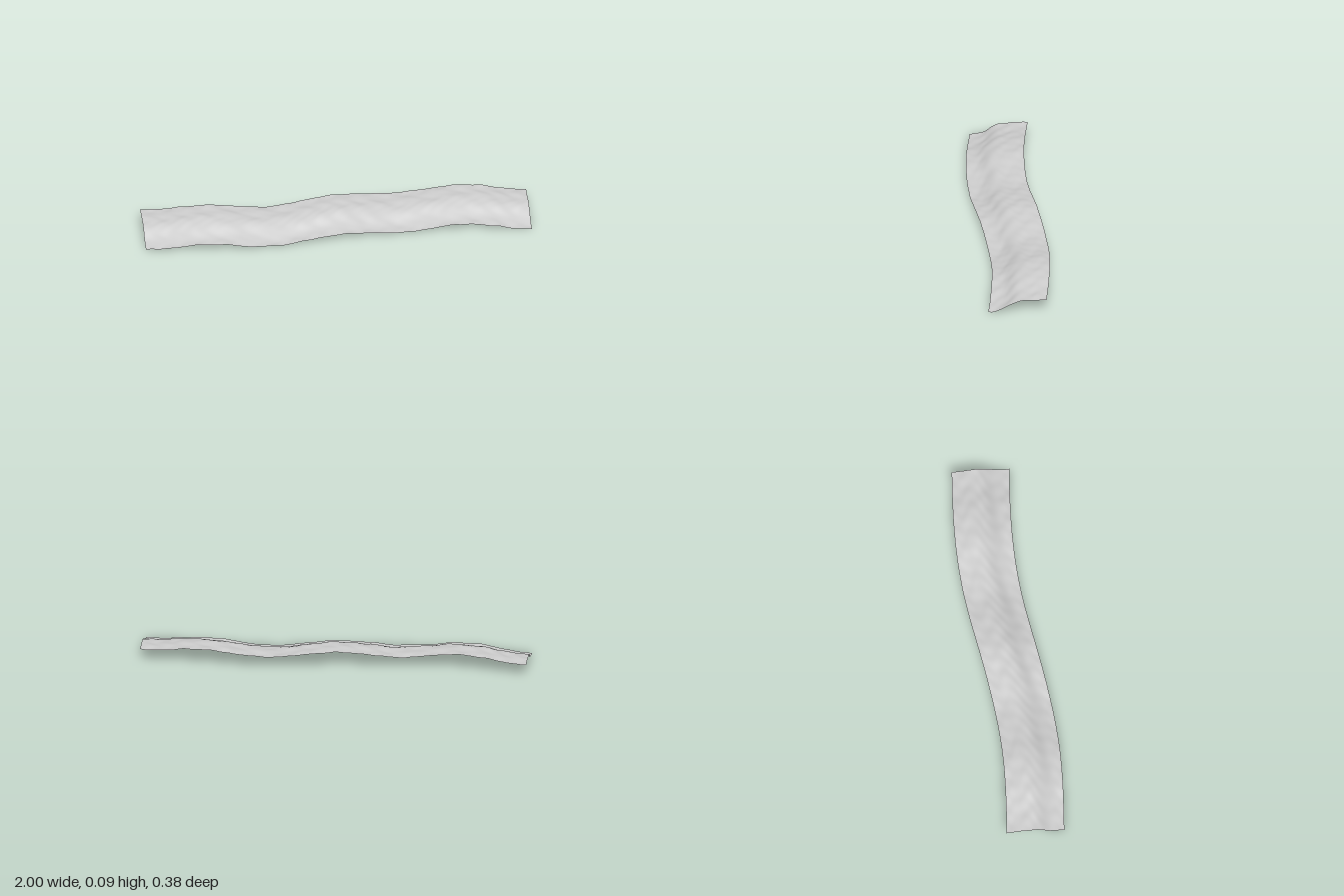
import * as THREE from 'three';

const LENGTH = 2, WIDTH = 0.3;

// Small uneven bumps layered over the main shape
function bumps(x, v) {
  return 0.0022 * Math.sin(23 * x + 31 * v + 1.3) * Math.cos(37 * v - 9 * x)
    + 0.0016 * Math.sin(41 * x - 52 * v + 0.6 + 2 * Math.sin(7 * x))
    + 0.0012 * Math.sin(67 * x + 2 * Math.sin(40 * v)) * Math.cos(71 * v + 13 * x);
}

// Low front edge, steep bank, flatter back, rolling along the length
function heightAt(x, v) {
  const bank = 0.047 - 0.032 * Math.tanh((v - 0.05) / 0.05);
  return bank + 0.0135 * Math.cos(3 * Math.PI * x) + bumps(x, v);
}

export function createModel() {
  const group = new THREE.Group();
  group.name = 'terrainStrip';
  const stone = new THREE.MeshStandardMaterial({ color: 0xcccccc, side: THREE.DoubleSide });
  stone.name = 'light grey';

  // Winding sheet displaced by the height rule
  const geometry = new THREE.PlaneGeometry(LENGTH, WIDTH, 160, 28);
  geometry.rotateX(-Math.PI / 2);
  const p = geometry.attributes.position;
  for (let i = 0; i < p.count; i++) {
    const x = p.getX(i), v = p.getZ(i);
    p.setXYZ(i, x, heightAt(x, v), v - 0.04 * Math.sin(Math.PI * x));
  }

  // Rest the lowest point on the ground
  geometry.computeBoundingBox();
  geometry.translate(0, -geometry.boundingBox.min.y, 0);
  geometry.computeVertexNormals();

  const strip = new THREE.Mesh(geometry, stone);
  strip.name = 'windingSurface';
  group.add(strip);
  return group;
}
